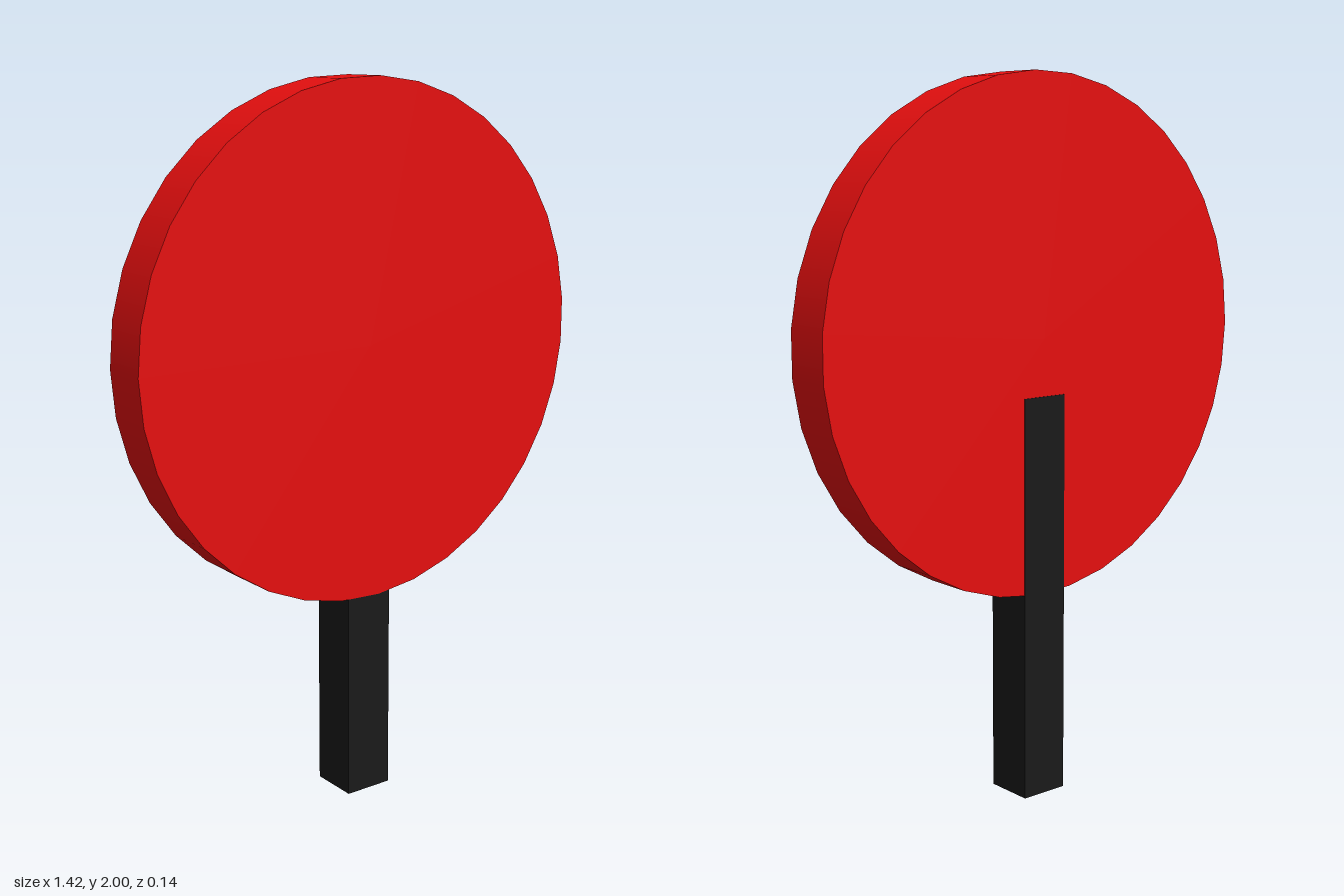
import * as THREE from 'three';

export function createModel() {
  const model = new THREE.Group();
  const unit = 0.1418; // width of the handle

  function add(name, geometry, color, x, y, z) {
    const mesh = new THREE.Mesh(geometry, new THREE.MeshStandardMaterial({ color }));
    mesh.name = name;
    mesh.position.set(x, y, z);
    model.add(mesh);
    return mesh;
  }

  // Square post, a hair behind the disc so its back face shows
  add('handle', new THREE.BoxGeometry(unit, unit * 8, unit), 0x1a1a1a, 0, unit * 4, -0.001);

  // Round paddle disc, faces turned to front and back, one corner pointing to -x
  const disc = new THREE.CylinderGeometry(unit * 5, unit * 5, unit, 35, 1, false, -Math.PI / 2);
  disc.rotateX(Math.PI / 2);
  add('disc', disc, 0xe50f0f, 0.001, 2 - unit * 5, 0.001);

  return model;
}
